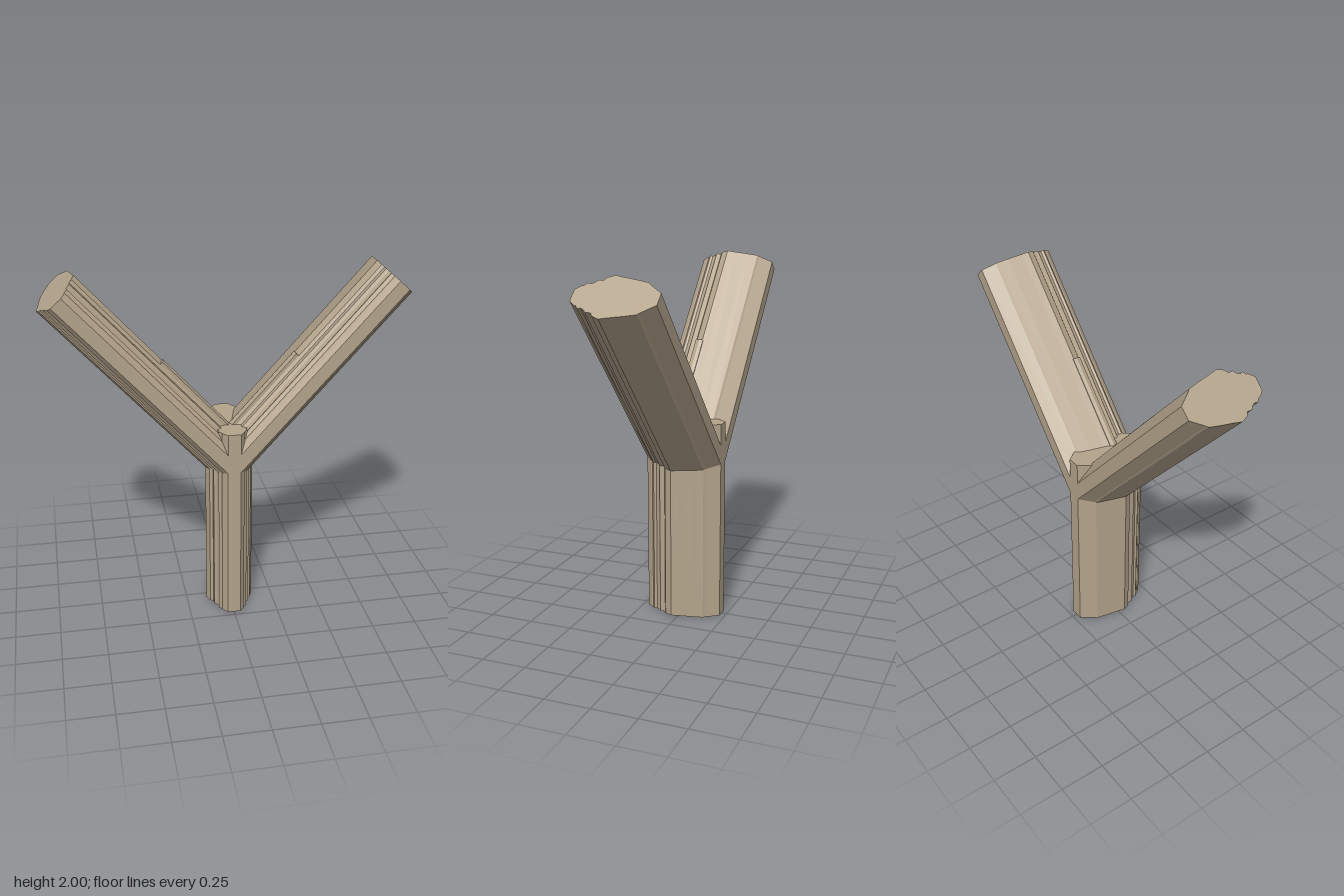
import * as THREE from 'three';

// Half-width of the log section at each depth z, back to front
const SECTION = [
  [-0.22, 0.036], [-0.15, 0.087], [-0.14, 0.097], [-0.08, 0.11], [0, 0.125], [0.04, 0.134],
  [0.08, 0.117], [0.09, 0.1], [0.12, 0.1], [0.13, 0.085], [0.15, 0.075], [0.165, 0.08],
  [0.18, 0.063], [0.19, 0.061], [0.22, 0.036],
];
const STEM_TOP = 1.13;
const FORK_Y = 0.916;
const ARM_LENGTH = 1.338;
const SIN = 0.669, COS = 0.743; // lean of the arms from vertical

// Unit-high upright prism from [x, z] points
function prism(points) {
  const shape = new THREE.Shape(points.map(([x, z]) => new THREE.Vector2(x, -z)));
  const geo = new THREE.ExtrudeGeometry(shape, { depth: 1, bevelEnabled: false });
  return geo.rotateX(-Math.PI / 2);
}

// Lean a prism to one side, cutting its lower end on the plane x = 0
function lean(geo, side, length) {
  const pos = geo.attributes.position;
  for (let i = 0; i < pos.count; i++) {
    const u = pos.getX(i);
    const along = pos.getY(i) > 0.5 ? length : -side * u * COS / SIN;
    pos.setXY(i, COS * u + side * SIN * along, FORK_Y - side * SIN * u + COS * along);
  }
  geo.computeVertexNormals();
  return geo;
}

export function createModel() {
  const group = new THREE.Group();
  const wood = new THREE.MeshStandardMaterial({ color: 0xb3a38b });
  wood.name = 'wood';
  const add = (name, geo) => {
    const mesh = new THREE.Mesh(geo, wood);
    mesh.name = name;
    group.add(mesh);
  };

  const outline = [
    ...SECTION.map(([z, w]) => [w, z]),
    ...SECTION.slice().reverse().map(([z, w]) => [-w, z]),
  ];

  // Upright stem
  add('stem', prism(outline).scale(1, STEM_TOP, 1));

  // Two forked arms, each with a short ridge along its upper side
  for (const [side, label] of [[1, 'left'], [-1, 'right']]) {
    add(label + 'Arm', lean(prism(outline), side, ARM_LENGTH));
    const ridge = [[0.09, 0.035], [0.138, 0.035], [0.143, 0.055], [0.135, 0.08], [0.09, 0.08]];
    add(label + 'Ridge', lean(prism(ridge.map(([u, z]) => [-side * u, z])), side, 0.69));
  }
  return group;
}
